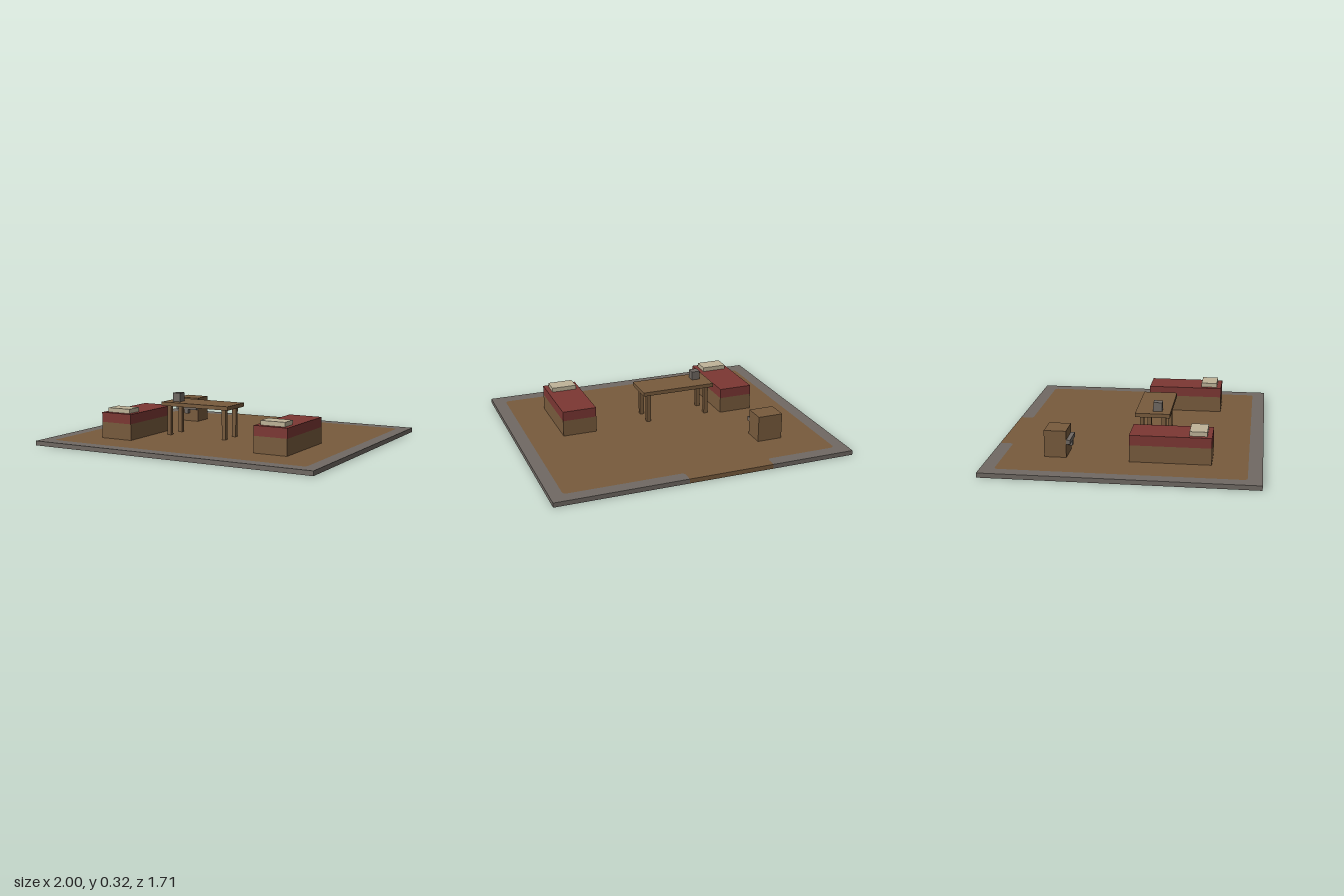
import * as THREE from 'three';

const material = (name, color) => {
  const m = new THREE.MeshStandardMaterial({ color });
  m.name = name;
  return m;
};

export function createModel() {
  const wood = material('wood', 0x785b3d);
  const stone = material('stone', 0x706963);
  const blanket = material('red blanket', 0x7c3733);
  const linen = material('linen', 0xbfb499);

  const model = new THREE.Group();
  model.name = 'room';

  const group = (name, parent = model) => {
    const g = new THREE.Group();
    g.name = name;
    parent.add(g);
    return g;
  };

  // Box given by its extents along each axis
  const box = (parent, name, mat, [x0, x1], [y0, y1], [z0, z1]) => {
    const mesh = new THREE.Mesh(new THREE.BoxGeometry(x1 - x0, y1 - y0, z1 - z0), mat);
    mesh.position.set((x0 + x1) / 2, (y0 + y1) / 2, (z0 + z1) / 2);
    mesh.name = name;
    parent.add(mesh);
    return mesh;
  };

  // Floor slab: wooden floor with a doorway at the back, ringed by stone
  const floorTop = 0.03, edgeZ = 0.857;
  const inner = [[0.14, 0.77], [0.915, 0.77], [0.915, -0.768], [-0.915, -0.768], [-0.915, 0.77], [-0.43, 0.77]];
  const doorRight = [0.14, edgeZ], doorLeft = [-0.43, edgeZ];

  // Trace the inside edge with small rounded corners
  const traceInside = () => {
    const shape = new THREE.Shape();
    const r = 0.028;
    const pts = [doorRight, ...inner, doorLeft].map(([x, y]) => new THREE.Vector2(x, y));
    shape.moveTo(pts[0].x, pts[0].y);
    for (let i = 1; i < pts.length - 1; i++) {
      const p = pts[i];
      const a = pts[i - 1].clone().sub(p).setLength(r).add(p);
      const b = pts[i + 1].clone().sub(p).setLength(r).add(p);
      shape.lineTo(a.x, a.y);
      shape.quadraticCurveTo(p.x, p.y, b.x, b.y);
    }
    shape.lineTo(...doorLeft);
    return shape;
  };

  const slab = (name, shape, mat) => {
    const geo = new THREE.ExtrudeGeometry(shape, { depth: floorTop, bevelEnabled: false, curveSegments: 5 });
    geo.rotateX(-Math.PI / 2);
    const mesh = new THREE.Mesh(geo, mat);
    mesh.name = name;
    model.add(mesh);
  };
  slab('woodenFloor', traceInside(), wood);
  const border = traceInside();
  [[-1, edgeZ], [-1, -edgeZ], [1, -edgeZ], [1, edgeZ]].forEach((p) => border.lineTo(...p));
  slab('stoneBorder', border, stone);

  // Two matching beds
  for (const [name, x] of [['rightBed', -0.573], ['leftBed', 0.57]]) {
    const bed = group(name);
    const span = (half) => [x - half, x + half];
    box(bed, 'bedBase', wood, span(0.115), [floorTop, 0.138], [0.03, 0.543]);
    box(bed, 'blanket', blanket, span(0.115), [0.138, 0.203], [0.03, 0.543]);
    box(bed, 'pillow', linen, span(0.084), [0.203, 0.232], [0.402, 0.512]);
  }

  // Table with four legs and a mug
  const table = group('table');
  box(table, 'tableTop', wood, [-0.4, 0.113], [0.232, 0.258], [0.03, 0.256]);
  for (const x of [-0.359, 0.067])
    for (const z of [0.072, 0.214])
      box(table, 'tableLeg', wood, [x - 0.014, x + 0.014], [floorTop, 0.232], [z - 0.014, z + 0.014]);
  box(table, 'mug', stone, [-0.344, -0.288], [0.258, 0.317], [0.142, 0.2]);

  // Chest with a metal band and a latch on its front
  const chest = group('chest');
  box(chest, 'chestBody', wood, [-0.66, -0.49], [floorTop, 0.203], [-0.512, -0.371]);
  box(chest, 'chestBand', stone, [-0.66, -0.49], [0.117, 0.145], [-0.371, -0.345]);
  box(chest, 'chestLatch', stone, [-0.59, -0.56], [0.088, 0.117], [-0.371, -0.343]);

  return model;
}
